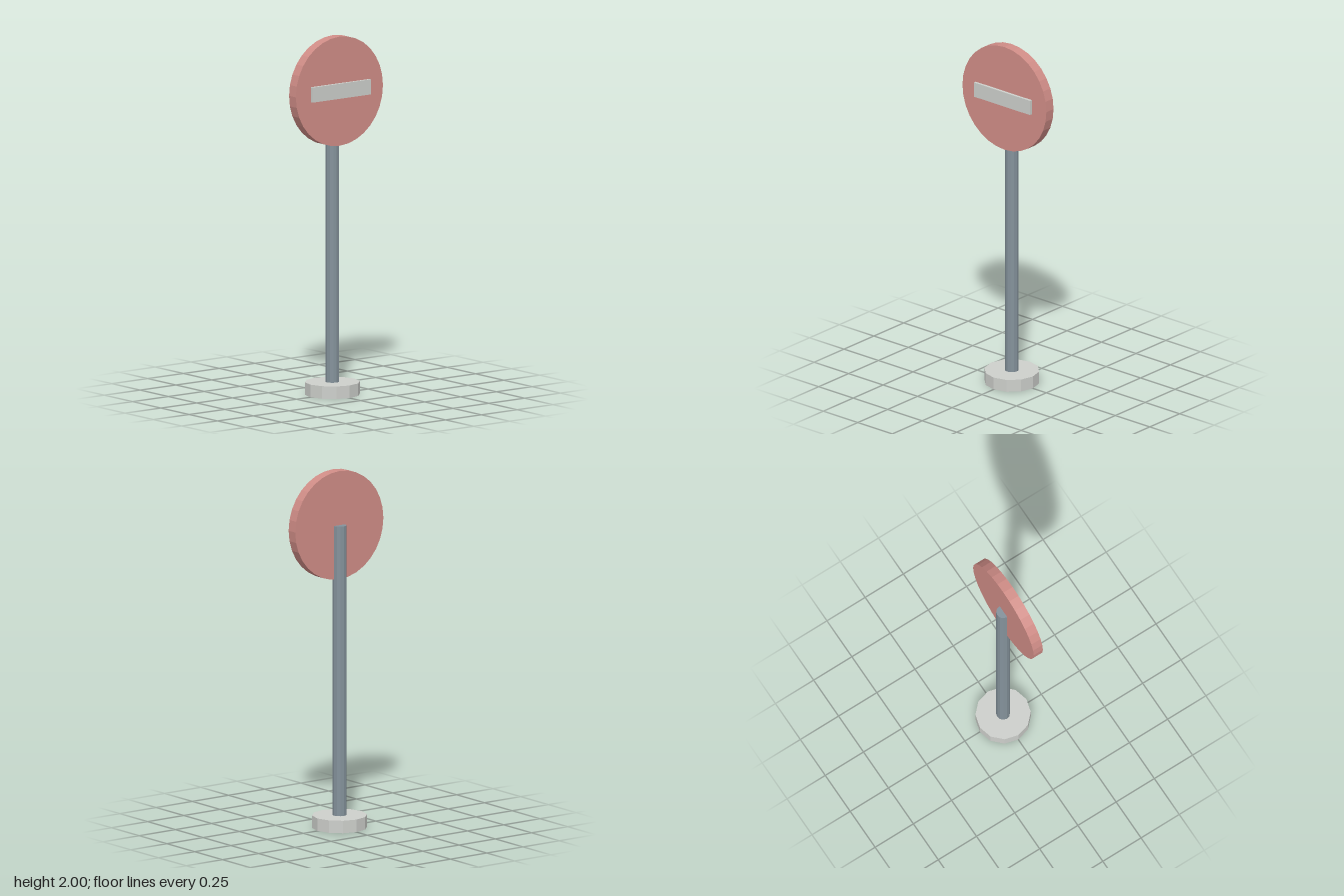
import * as THREE from 'three';

function material(name, color) {
  const m = new THREE.MeshStandardMaterial({ color, flatShading: true });
  m.name = name;
  return m;
}

export function createModel() {
  const group = new THREE.Group();
  group.name = 'roadSign';

  const lightGrey = material('light grey', 0xcdcfcb);
  const steel = material('steel blue', 0x84929b);
  const red = material('faded red', 0xd08d87);

  const add = (name, geometry, mat, y, z = 0) => {
    const mesh = new THREE.Mesh(geometry, mat);
    mesh.name = name;
    mesh.position.set(0, y, z);
    group.add(mesh);
  };

  // Twelve-sided foot and the post standing through it
  add('base', new THREE.CylinderGeometry(0.152, 0.152, 0.07, 12), lightGrey, 0.035);
  add('pole', new THREE.CylinderGeometry(0.038, 0.038, 1.696, 12), steel, 0.848);

  // Round plate facing forward, with its horizontal bar just in front
  const plate = new THREE.CylinderGeometry(0.304, 0.304, 0.06, 32).rotateX(Math.PI / 2);
  add('signPlate', plate, red, 1.696, 0.032);
  add('signBar', new THREE.BoxGeometry(0.406, 0.084, 0.016), lightGrey, 1.7, 0.075);

  return group;
}
